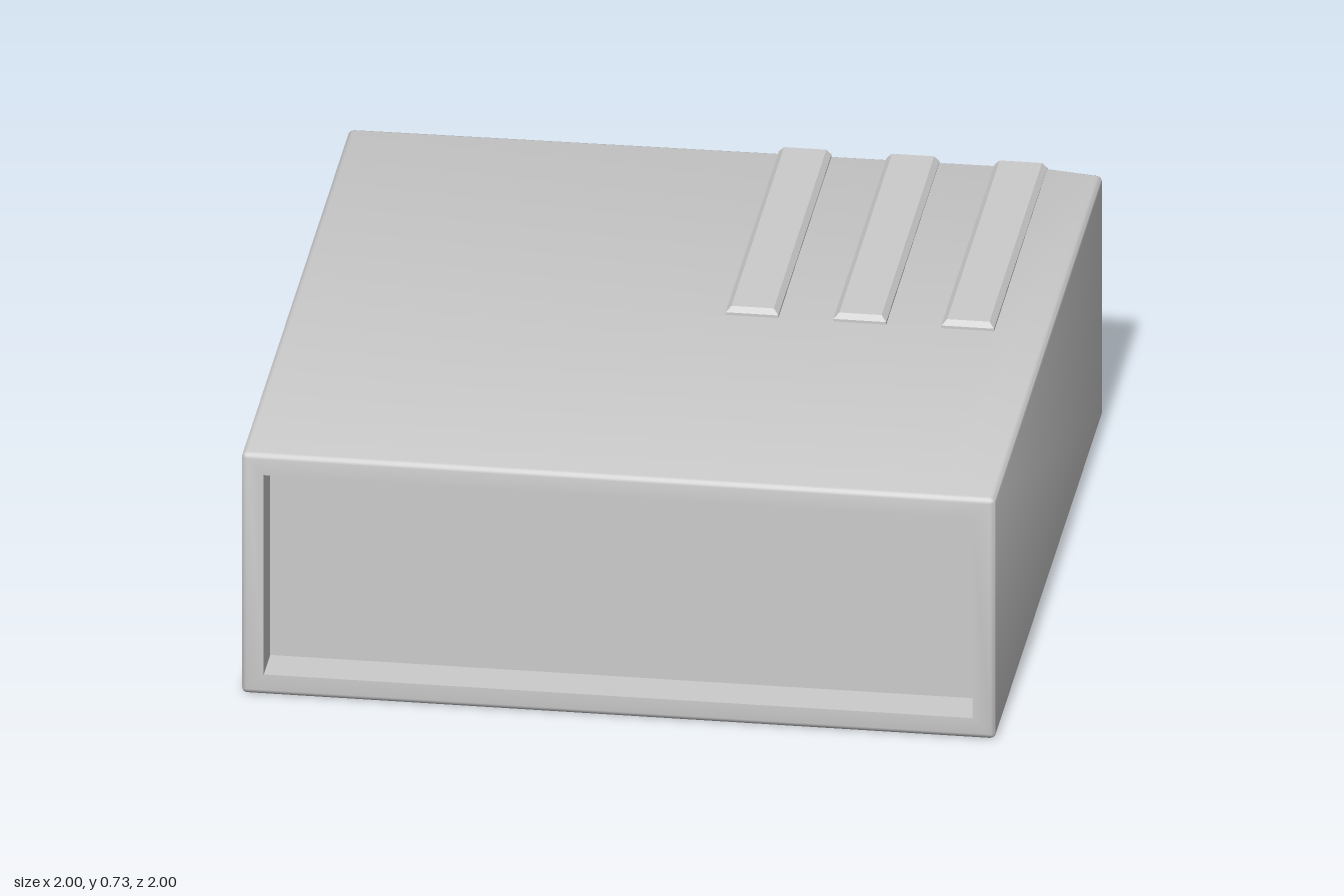
import * as THREE from 'three';
import { toCreasedNormals } from 'three/addons/utils/BufferGeometryUtils.js';

const BEVEL = 0.015, STEPS = 3, HEIGHT = 0.7, PEAK_X = 0.85, CROWN = 0.013;

// Rounded-rectangle loop at depth z, counter-clockwise seen from the front,
// with one extra point on the top edge that carries the slight crown.
function ring(z, inset, radius, raise = 0) {
  const w = 1 - inset, h = HEIGHT / 2 - inset, points = [];
  const corners = [[1, 1], [-1, 1], [-1, -1], [1, -1]];
  corners.forEach(([sx, sy], c) => {
    for (let i = 0; i <= STEPS; i++) {
      const a = (c + i / STEPS) * Math.PI / 2;
      points.push(new THREE.Vector3(
        sx * (w - radius) + radius * Math.cos(a),
        HEIGHT / 2 + sy * (h - radius) + radius * Math.sin(a), z));
    }
    if (c === 0) points.push(new THREE.Vector3(PEAK_X, HEIGHT / 2 + h + raise, z));
  });
  return points;
}

// Skin the loops in order and close both ends with fans.
function loft(rings) {
  const positions = [], t = new THREE.Triangle();
  const tri = (a, b, c) => {
    if (t.set(a, b, c).getArea() > 1e-9) for (const p of [a, b, c]) positions.push(p.x, p.y, p.z);
  };
  const n = rings[0].length;
  const cap = (loop, flip) => {
    const middle = new THREE.Vector3(0, HEIGHT / 2, loop[0].z);
    loop.forEach((p, i) => {
      const q = loop[(i + 1) % n];
      flip ? tri(middle, q, p) : tri(middle, p, q);
    });
  };
  cap(rings[0], true);
  for (let r = 0; r < rings.length - 1; r++) {
    for (let i = 0; i < n; i++) {
      const j = (i + 1) % n, a = rings[r], b = rings[r + 1];
      tri(a[i], a[j], b[j]);
      tri(a[i], b[j], b[i]);
    }
  }
  cap(rings[rings.length - 1], false);
  const geometry = new THREE.BufferGeometry();
  geometry.setAttribute('position', new THREE.Float32BufferAttribute(positions, 3));
  return toCreasedNormals(geometry, 0.6);
}

function caseGeometry() {
  const rings = [];
  // Bevelled back edge, then bevelled front edge
  for (const side of [-1, 1]) {
    for (let i = 0; i <= STEPS; i++) {
      const a = (side < 0 ? i : STEPS - i) / STEPS * Math.PI / 2;
      const inset = BEVEL * (1 - Math.sin(a));
      const z = side * (1 - BEVEL + BEVEL * Math.cos(a));
      rings.push(ring(z, inset, BEVEL - inset, side < 0 ? CROWN * Math.sin(a) : 0));
    }
  }
  // Recess: lip, then its back wall
  rings.push(ring(1, 0.06, 0), ring(0.88, 0.06, 0));
  return loft(rings);
}

// Strip with chamfered sides and front; the back end is cut straight.
function stripGeometry() {
  const width = 0.14, length = 0.99, bottom = 0.7, shoulder = 0.714, top = 0.727, chamfer = 0.014;
  const geometry = new THREE.BoxGeometry(width, 2, length, 1, 2, 1);
  const p = geometry.attributes.position;
  for (let i = 0; i < p.count; i++) {
    const level = Math.round(p.getY(i));
    p.setY(i, [bottom, shoulder, top][level + 1]);
    if (level === 1) {
      p.setX(i, p.getX(i) - Math.sign(p.getX(i)) * chamfer);
      if (p.getZ(i) > 0) p.setZ(i, p.getZ(i) - chamfer);
    }
  }
  geometry.translate(0, 0, -length / 2);
  return geometry;
}

export function createModel() {
  const model = new THREE.Group();
  model.name = 'recessedBox';

  const body = new THREE.Mesh(caseGeometry(), new THREE.MeshStandardMaterial({ color: 0xcccccc }));
  body.name = 'case';
  model.add(body);

  // Three raised strips on the rear left of the top
  const strips = new THREE.Group();
  strips.name = 'topStrips';
  const geometry = stripGeometry();
  const material = new THREE.MeshStandardMaterial({ color: 0xcccccc, flatShading: true });
  for (let i = 0; i < 3; i++) {
    const strip = new THREE.Mesh(geometry, material);
    strip.name = `strip${i + 1}`;
    strip.position.x = 0.212 + i * 0.286;
    strips.add(strip);
  }
  model.add(strips);
  return model;
}
